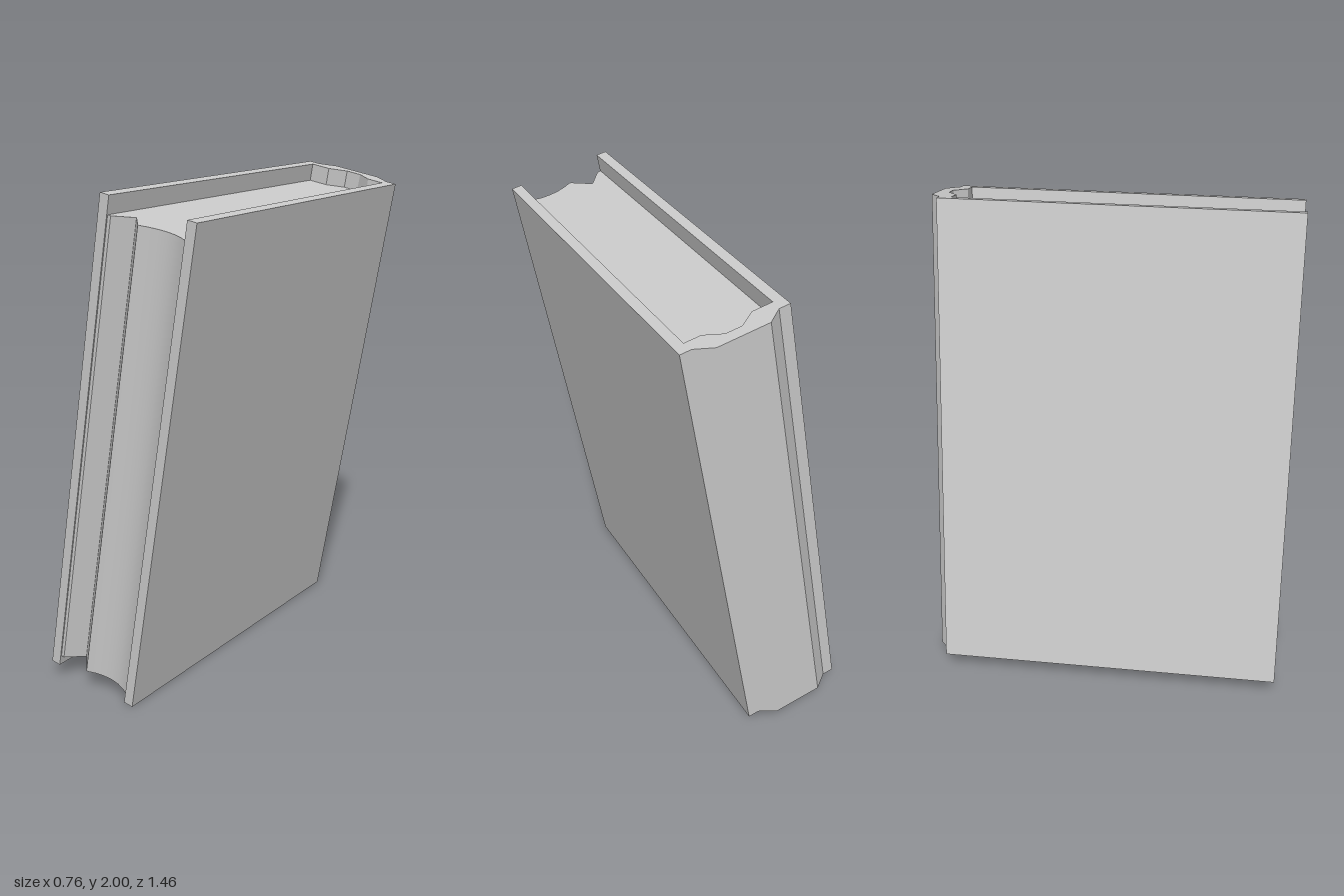
import * as THREE from 'three';
import { toCreasedNormals } from 'three/addons/utils/BufferGeometryUtils.js';

const material = new THREE.MeshStandardMaterial({ color: 0xcccccc });

// Raises an [x, z] outline from one height to another
function prism(name, outline, bottom, top, crease) {
  const shape = new THREE.Shape(outline.map(([x, z]) => new THREE.Vector2(x, -z)));
  const extruded = new THREE.ExtrudeGeometry(shape, { depth: top - bottom, bevelEnabled: false });
  extruded.rotateX(-Math.PI / 2).translate(0, bottom, 0);
  const mesh = new THREE.Mesh(toCreasedNormals(extruded, crease), material);
  mesh.name = name;
  return mesh;
}

export function createModel() {
  const halfWidth = 0.213, inner = 0.172, halfHeight = 0.977, front = 0.727;

  // Inside of the spine, shared by the case and the page block
  const spineInside = [
    [inner, -0.638], [0.105, -0.638], [0.04, -0.683],
    [-0.025, -0.683], [-0.09, -0.636], [-inner, -0.636],
  ];

  // Two boards joined by a faceted spine
  const caseOutline = [
    [-halfWidth, front], [-halfWidth, -0.683], [-0.167, -0.683], [-0.107, -0.73],
    [0.1, -0.73], [0.167, -0.685], [halfWidth, -0.685], [halfWidth, front],
    [inner, front], ...spineInside, [-inner, front],
  ];

  // Pages with a notch and a shallow hollow along the fore edge
  const pageOutline = [
    ...spineInside,
    [-inner, 0.722], [-0.158, 0.722], [-0.1, 0.65], [-0.034, 0.724], [-0.026, 0.724],
    [0.002, 0.71], [0.04, 0.699], [0.075, 0.696], [0.11, 0.699], [0.145, 0.71], [inner, 0.724],
  ];

  const book = new THREE.Group();
  book.name = 'leaningBook';
  book.add(
    prism('cover', caseOutline, -halfHeight, halfHeight, 0.3),
    prism('pages', pageOutline, -0.936, 0.906, 0.5),
  );

  // Lean sideways about the middle
  book.rotation.z = -0.173;
  book.position.y = 1;

  const model = new THREE.Group();
  model.name = 'book';
  model.add(book);
  return model;
}
